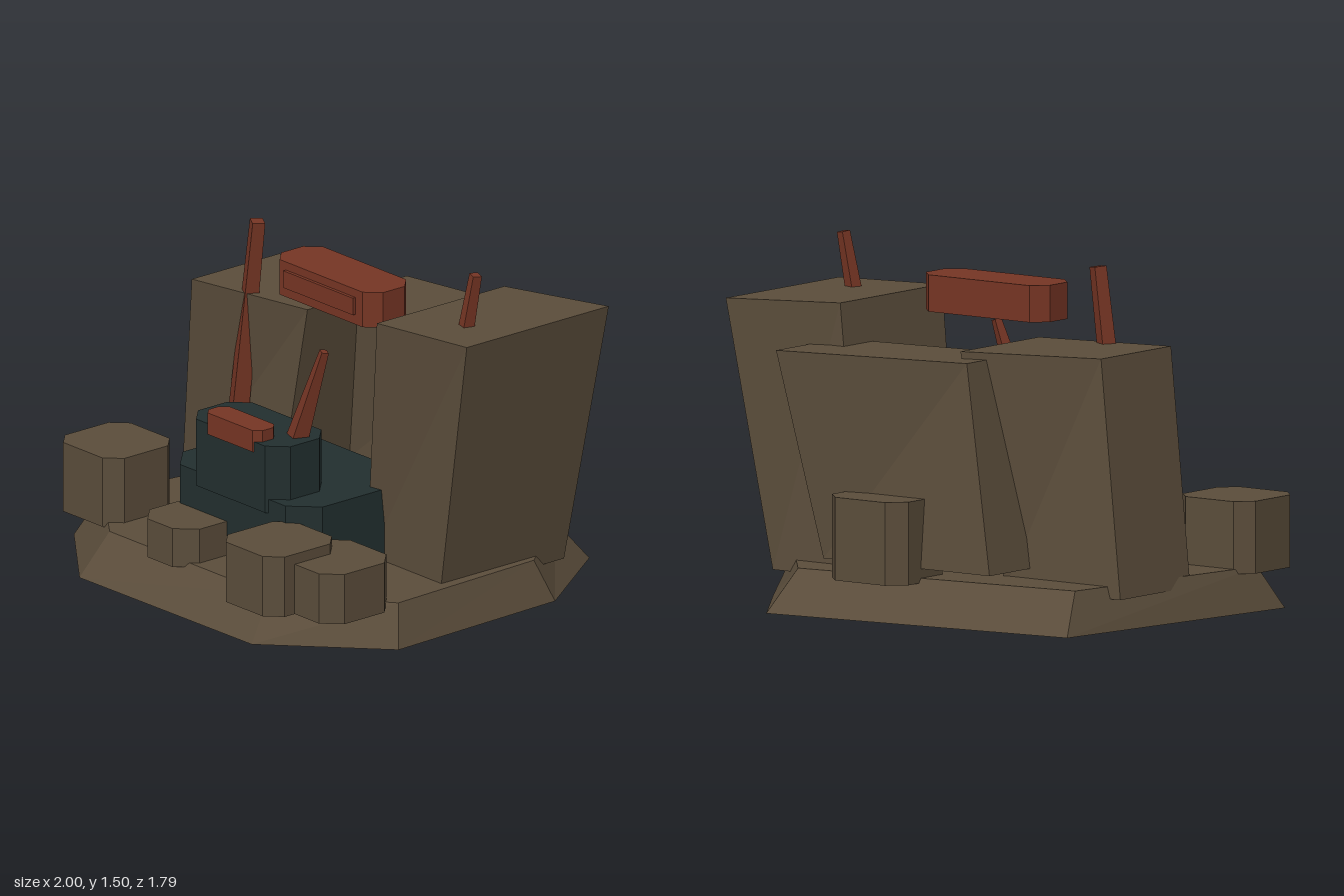
import * as THREE from 'three';

const material = (name, color) => {
  const m = new THREE.MeshStandardMaterial({ color, flatShading: true });
  m.name = name;
  return m;
};

// Solid between two outlines of [x, z] points, listed from front left round by the right
function loft(bottom, top, y0, y1) {
  const pos = [];
  const b = bottom.map(([x, z]) => [x, y0, z]);
  const t = top.map(([x, z]) => [x, y1, z]);
  const tri = (p, q, r) => pos.push(...p, ...q, ...r);
  const n = b.length;
  for (let i = 0; i < n; i++) {
    const j = (i + 1) % n;
    tri(b[i], b[j], t[j]);
    tri(b[i], t[j], t[i]);
    if (i > 0 && i < n - 1) {
      tri(t[0], t[i], t[j]);
      tri(b[0], b[j], b[i]);
    }
  }
  const g = new THREE.BufferGeometry();
  g.setAttribute('position', new THREE.Float32BufferAttribute(pos, 3));
  g.computeVertexNormals();
  return g;
}

// Upright block with its four vertical corners cut off
function chamferBlock([x0, x1], [y0, y1], [z0, z1], c) {
  const p = [
    [x0 + c, z1], [x1 - c, z1], [x1, z1 - c], [x1, z0 + c],
    [x1 - c, z0], [x0 + c, z0], [x0, z0 + c], [x0, z1 - c],
  ];
  return loft(p, p, y0, y1);
}

// Four-sided tapered shaft from a to b
function spikeGeometry(a, b, rBase, rTip, twist) {
  const from = new THREE.Vector3(...a), to = new THREE.Vector3(...b);
  const dir = to.clone().sub(from);
  const g = new THREE.CylinderGeometry(rTip, rBase, dir.length(), 4);
  g.rotateY(twist);
  g.applyQuaternion(new THREE.Quaternion().setFromUnitVectors(
    new THREE.Vector3(0, 1, 0), dir.normalize()));
  const mid = from.add(to).multiplyScalar(0.5);
  return g.translate(mid.x, mid.y, mid.z);
}

export function createModel() {
  const model = new THREE.Group();
  model.name = 'rockShrine';
  const stone = material('brown stone', 0x5b4d3b);
  const dark = material('dark teal', 0x222f2f);
  const red = material('rust red', 0x763524);
  const add = (name, geometry, mat) => {
    const mesh = new THREE.Mesh(geometry, mat);
    mesh.name = name;
    model.add(mesh);
  };

  // Sloping irregular base
  add('base', loft(
    [[-0.58, 0.87], [0.51, 0.86], [0.96, 0.44], [0.93, -0.445], [0.62, -0.9], [-0.82, -0.72], [-1, 0.54]],
    [[-0.55, 0.73], [0.47, 0.73], [0.9, 0.39], [0.87, -0.38], [0.56, -0.76], [-0.77, -0.6], [-0.93, 0.44]],
    0, 0.18), stone);

  // Leaning slabs: rectangular foot, twisted top
  const slabs = [
    ['rightSlab', [-0.87, -0.27], [-0.42, 0.06], [[-0.7, 0.15], [-0.1, 0.03], [-0.1, -0.51], [-0.7, -0.33]], 0.13, 1.12],
    ['backSlab', [-0.39, 0.48], [-0.69, -0.31], [[-0.21, -0.24], [0.66, -0.34], [0.66, -0.78], [-0.21, -0.61]], 0.22, 1.09],
    ['leftSlab', [0.36, 0.83], [-0.58, 0.1], [[0.53, 0.19], [1, 0.1], [1, -0.68], [0.53, -0.51]], 0.13, 1.27],
  ];
  for (const [name, [x0, x1], [z0, z1], top, y0, y1] of slabs) {
    add(name, loft([[x0, z1], [x1, z1], [x1, z0], [x0, z0]], top, y0, y1), stone);
  }

  // Boulders around the edge
  const boulders = [
    [[-0.97, -0.59], 0.465, [0.31, 0.68], 0.065],
    [[-0.33, -0.01], 0.33, [0.46, 0.78], 0.08],
    [[0.315, 0.68], 0.425, [0.51, 0.89], 0.065],
    [[0.53, 0.91], 0.38, [0.4, 0.77], 0.075],
    [[-0.03, 0.37], 0.51, [-0.845, -0.47], 0.07],
  ];
  boulders.forEach(([x, y, z, c], i) =>
    add('boulder' + (i + 1), chamferBlock(x, [0.16, y], z, c), stone));

  // Stepped dark body with a red lip
  add('lowerBody', chamferBlock([-0.42, 0.475], [0.17, 0.5], [-0.1, 0.55], 0.11), dark);
  add('upperBody', chamferBlock([-0.27, 0.32], [0.44, 0.735], [0.25, 0.56], 0.075), dark);
  add('lip', chamferBlock([-0.145, 0.2], [0.69, 0.785], [0.445, 0.565], 0.03), red);

  // Floating plaque with a raised front panel
  add('plaque', chamferBlock([-0.21, 0.44], [1.2, 1.355], [-0.1, 0.14], 0.06), red);
  add('plaquePanel', new THREE.BoxGeometry(0.445, 0.075, 0.04).translate(0.113, 1.282, 0.135), red);

  // Leaning red spikes
  add('rightSpike', spikeGeometry([-0.54, 0.24, 0.07], [-0.39, 1.44, 0.055], 0.055, 0.038, 0.3), red);
  add('leftSpike', spikeGeometry([0.74, 0.95, -0.055], [0.83, 1.5, -0.095], 0.045, 0.028, 0.5), red);
  add('bodySpike', spikeGeometry([0.2, 0.62, 0.38], [0.345, 1.125, 0.32], 0.058, 0.022, 0.4), red);
  return model;
}
